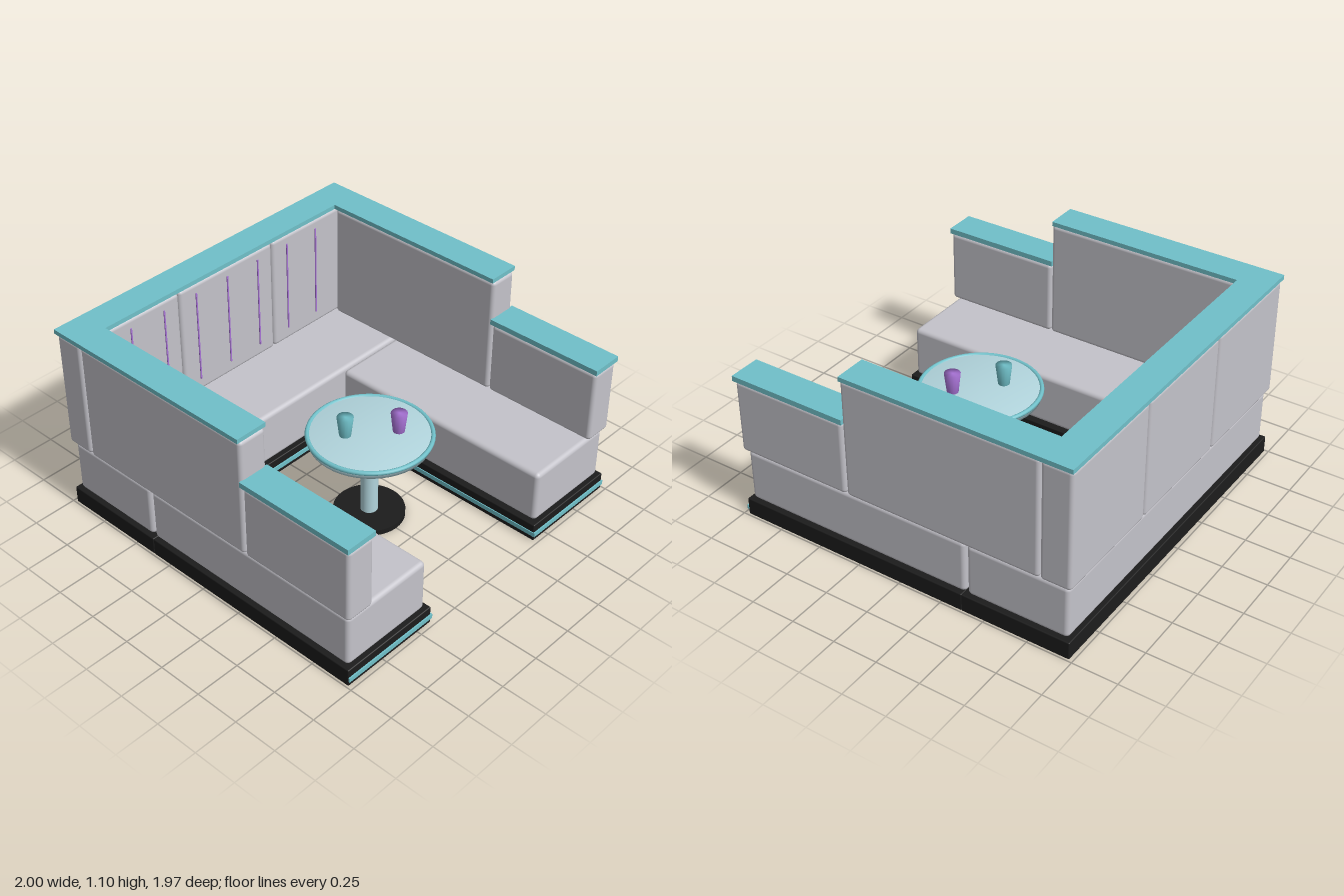
import * as THREE from 'three';
import { RoundedBoxGeometry } from 'three/addons/geometries/RoundedBoxGeometry.js';
import { mergeVertices } from 'three/addons/utils/BufferGeometryUtils.js';

const mat = (name, color) => new THREE.MeshStandardMaterial({ name, color });

export function createModel() {
  const root = new THREE.Group();
  root.name = 'diningBooth';
  const grey = mat('greyUpholstery', 0xc4c3ca);
  const teal = mat('tealTrim', 0x70c0c9);
  const pale = mat('paleBlueMetal', 0xb2d5dd);
  const black = mat('blackPlinth', 0x1c1c1c);
  const purple = mat('purpleAccent', 0xa873d6);

  const add = (name, geometry, material, x, y, z) => {
    const mesh = new THREE.Mesh(geometry, material);
    mesh.name = name;
    mesh.position.set(x, y, z);
    root.add(mesh);
    return mesh;
  };

  // Box given by its limits on each axis, with an optional edge radius
  const block = (name, material, [x0, x1], [y0, y1], [z0, z1], radius = 0) => {
    const size = [x1 - x0, y1 - y0, z1 - z0];
    const geometry = radius
      ? new RoundedBoxGeometry(...size, 3, radius)
      : new THREE.BoxGeometry(...size);
    return add(name, geometry, material, (x0 + x1) / 2, (y0 + y1) / 2, (z0 + z1) / 2);
  };

  // The same block on the left (+x) and right (-x)
  const pair = (name, material, [x0, x1], y, z, radius) => {
    block(name + 'Left', material, [x0, x1], y, z, radius);
    block(name + 'Right', material, [-x1, -x0], y, z, radius);
  };

  // Closed round part with soft shading running over its edges
  const softRound = (name, material, rTop, rBottom, y0, y1, x, z, sides) => {
    const raw = new THREE.CylinderGeometry(rTop, rBottom, y1 - y0, sides);
    raw.deleteAttribute('normal');
    raw.deleteAttribute('uv');
    const geometry = mergeVertices(raw);
    geometry.computeVertexNormals();
    return add(name, geometry, material, x, (y0 + y1) / 2, z);
  };

  // Plinth
  block('plinthBack', black, [-0.99, 0.99], [0, 0.1], [-0.98, -0.37], 0.006);
  pair('plinthSide', black, [0.405, 0.99], [0, 0.1], [-0.37, 0.975], 0.006);

  // Glowing strip along the plinth
  const stripY = [0.03, 0.055];
  block('stripBack', teal, [-0.405, 0.405], stripY, [-0.37, -0.362]);
  pair('stripInner', teal, [0.4, 0.406], stripY, [-0.362, 0.975]);
  pair('stripFront', teal, [0.402, 0.99], stripY, [0.975, 0.983]);

  // Seat cushions
  block('seatBack', grey, [-0.97, 0.97], [0.1, 0.4], [-0.96, -0.39], 0.025);
  pair('seatSide', grey, [0.43, 0.97], [0.1, 0.4], [-0.38, 0.955], 0.025);

  // Padded back panels and side walls
  const wallY = [0.405, 1.075];
  for (let i = -1; i <= 1; i++) {
    const x = i < 0 ? [-0.99, -0.335] : i ? [0.335, 0.99] : [-0.332, 0.332];
    block('backPanel' + (i + 2), grey, x, wallY, [-0.98, -0.81], 0.022);
  }
  pair('sideWall', grey, [0.825, 0.99], wallY, [-0.807, 0.305], 0.022);
  pair('armWall', grey, [0.825, 0.99], [0.405, 0.823], [0.31, 0.975], 0.022);

  // Flat caps on the walls
  block('capBack', teal, [-1, 1], [1.075, 1.1], [-0.985, -0.81]);
  pair('capSide', teal, [0.82, 1], [1.075, 1.1], [-0.81, 0.3]);
  pair('capArm', teal, [0.82, 1], [0.825, 0.855], [0.3, 0.98]);

  // Upright piping lines on the back panels
  for (let i = -3; i <= 3; i++) {
    const x = i * 0.221;
    block('piping' + (i + 4), purple, [x - 0.004, x + 0.004], [0.48, 1.02], [-0.812, -0.805]);
  }

  // Pedestal table
  const tz = 0.205;
  add('tableFoot', new THREE.CylinderGeometry(0.19, 0.19, 0.03, 40), black, 0, 0.015, tz);
  add('tablePost', new THREE.CylinderGeometry(0.046, 0.046, 0.465, 32), pale, 0, 0.2575, tz);
  softRound('tableTop', pale, 0.32, 0.32, 0.485, 0.525, 0, tz, 48);
  const rim = add('tableRim', new THREE.TorusGeometry(0.32, 0.0125, 10, 64), teal, 0, 0.519, tz);
  rim.rotation.x = Math.PI / 2;

  // Cups
  softRound('cupTeal', teal, 0.044, 0.031, 0.525, 0.638, -0.1, 0.125, 16);
  softRound('cupPurple', purple, 0.044, 0.031, 0.525, 0.638, 0.112, 0.3, 16);

  return root;
}
